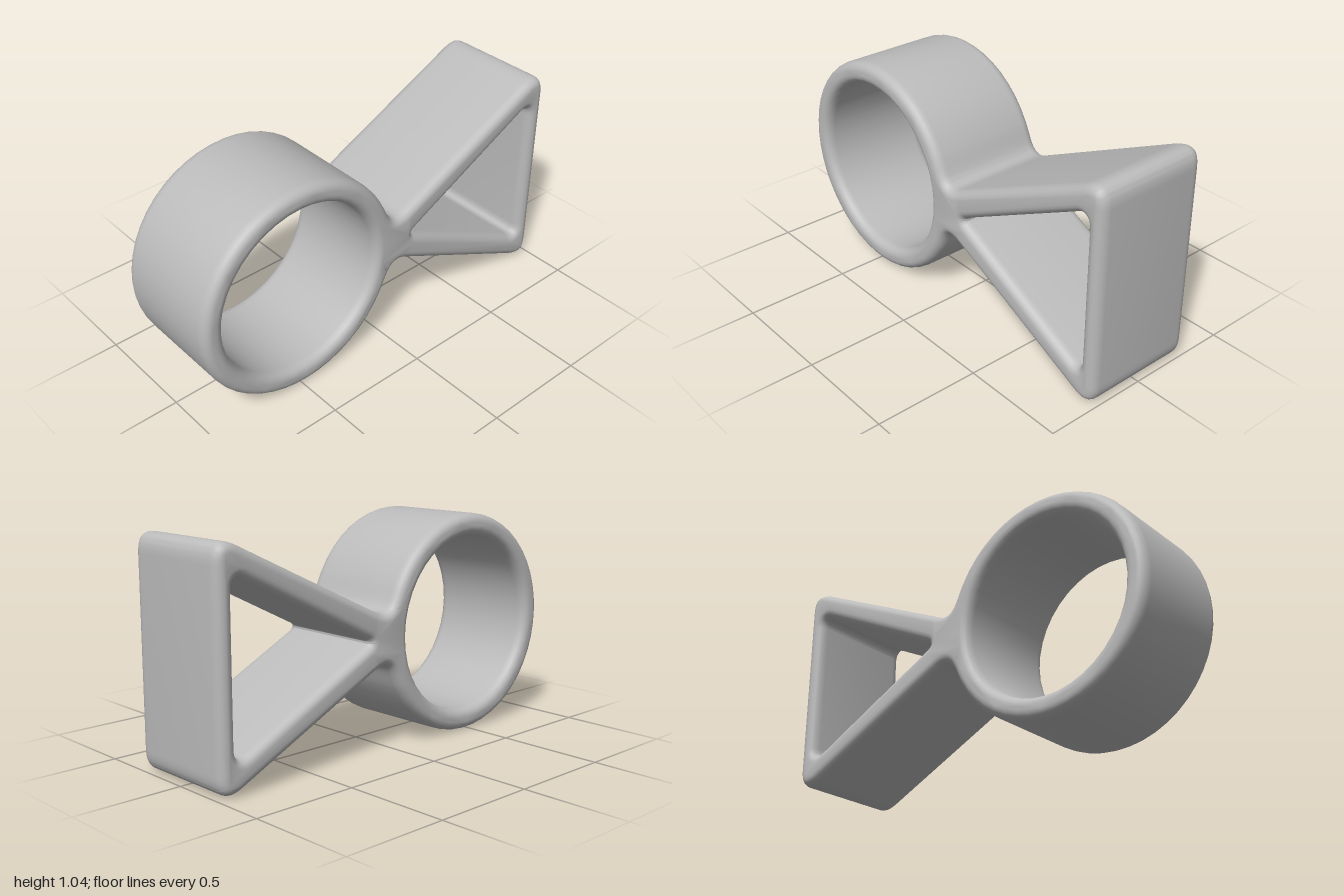
import * as THREE from 'three';
import { toCreasedNormals } from 'three/addons/utils/BufferGeometryUtils.js';

const MID = 0.525;          // height of the mirror line
const RING_X = -0.479;      // centre of the round loop
const HALF_DEPTH = 0.283;
const BEVEL = 0.04;

// Closed polygon with every corner rounded by a quadratic curve; points are [x, y, cut]
function roundedPath(points) {
  const path = new THREE.Path();
  const n = points.length;
  points.forEach(([x, y, cut], i) => {
    const corner = new THREE.Vector2(x, y);
    const towards = ([px, py]) => new THREE.Vector2(px, py).sub(corner).setLength(cut).add(corner);
    const a = towards(points[(i + n - 1) % n]);
    const b = towards(points[(i + 1) % n]);
    if (i === 0) path.moveTo(a.x, a.y);
    else path.lineTo(a.x, a.y);
    path.quadraticCurveTo(x, y, b.x, b.y);
  });
  path.closePath();
  return path;
}

export function createModel() {
  const group = new THREE.Group();
  const grey = new THREE.MeshStandardMaterial({ color: 0xbbbbbb });
  grey.name = 'plain grey';

  // Outline: round loop flowing through a narrow neck into a triangular loop
  const outline = new THREE.Shape();
  const start = 0.49;
  outline.absarc(RING_X, MID, 0.521, start, Math.PI * 2 - start, false);
  outline.bezierCurveTo(0.025, MID - 0.165, 0.03, MID - 0.09, 0.125, MID - 0.133);
  outline.lineTo(0.875, MID - 0.494);
  outline.bezierCurveTo(0.95, MID - 0.53, 0.998, MID - 0.515, 0.998, MID - 0.42);
  outline.lineTo(0.998, MID + 0.42);
  outline.bezierCurveTo(0.998, MID + 0.515, 0.95, MID + 0.53, 0.875, MID + 0.494);
  outline.lineTo(0.125, MID + 0.133);
  outline.bezierCurveTo(0.03, MID + 0.09, 0.025, MID + 0.165,
    RING_X + 0.521 * Math.cos(start), MID + 0.521 * Math.sin(start));

  // Round and triangular openings
  const roundHole = new THREE.Path();
  roundHole.absarc(RING_X, MID, 0.418, 0, Math.PI * 2, true);
  const triangleHole = roundedPath([
    [0.15, MID, 0.04],
    [0.914, MID + 0.388, 0.07],
    [0.914, MID - 0.388, 0.07],
  ]);
  outline.holes.push(roundHole, triangleHole);

  // Deep band with softly rounded rims
  const thickness = 0.05;
  const geometry = new THREE.ExtrudeGeometry(outline, {
    depth: 2 * (HALF_DEPTH - thickness),
    curveSegments: 20,
    bevelEnabled: true,
    bevelThickness: thickness,
    bevelSize: BEVEL,
    bevelOffset: -BEVEL,
    bevelSegments: 5,
  });
  geometry.translate(0, 0, -(HALF_DEPTH - thickness));

  const band = new THREE.Mesh(toCreasedNormals(geometry, 0.9), grey);
  band.name = 'loopedBand';
  group.add(band);
  return group;
}
